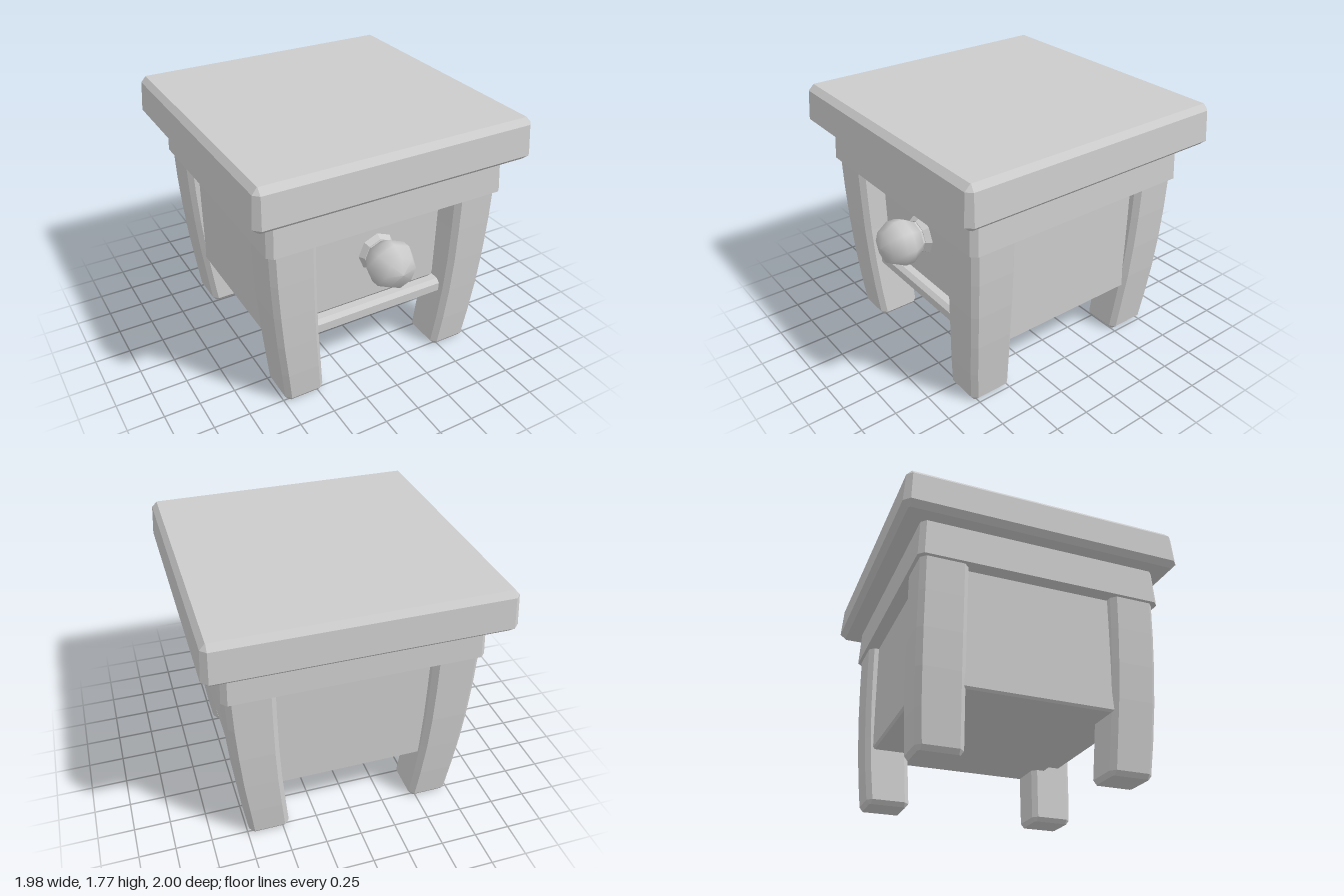
import * as THREE from 'three';

const flat = new THREE.MeshStandardMaterial({ color: 0xcccccc, flatShading: true });
const smooth = new THREE.MeshStandardMaterial({ color: 0xcccccc });

// Stacks chamfered rectangles, bottom to top: [y, x0, x1, z0, z1, cornerChamfer]
function loft(sections) {
  const rings = sections.map(([y, x0, x1, z0, z1, c]) => [
    [x1, z1 - c], [x1, z0 + c], [x1 - c, z0], [x0 + c, z0],
    [x0, z0 + c], [x0, z1 - c], [x0 + c, z1], [x1 - c, z1],
  ].map(([x, z]) => [x, y, z]));
  const pos = [];
  const tri = (...points) => points.forEach((p) => pos.push(...p));
  for (let i = 0; i < rings.length - 1; i++) {
    for (let j = 0; j < 8; j++) {
      const k = (j + 1) % 8;
      const [a, b, c, d] = [rings[i][j], rings[i][k], rings[i + 1][k], rings[i + 1][j]];
      tri(a, b, c);
      tri(a, c, d);
    }
  }
  const bottom = rings[0], top = rings[rings.length - 1];
  for (let j = 1; j < 7; j++) {
    tri(bottom[0], bottom[j + 1], bottom[j]);
    tri(top[0], top[j], top[j + 1]);
  }
  const g = new THREE.BufferGeometry();
  g.setAttribute('position', new THREE.Float32BufferAttribute(pos, 3));
  g.computeVertexNormals();
  return g;
}

// Section centred on x, given its half width
const centred = (y, hx, z0, z1, c) => [y, -hx, hx, z0, z1, c];

// Curved leg: [y, inner x, outer x, inner z, outer z, chamfer]
const legProfile = [
  [0, 0.48, 0.71, 0.505, 0.765, 0.01],
  [0.03, 0.453, 0.738, 0.483, 0.787, 0.035],
  [0.25, 0.475, 0.765, 0.492, 0.806, 0.035],
  [0.5, 0.497, 0.795, 0.502, 0.82, 0.035],
  [0.75, 0.511, 0.817, 0.508, 0.829, 0.035],
  [1.0, 0.518, 0.833, 0.511, 0.833, 0.035],
  [1.26, 0.522, 0.842, 0.512, 0.835, 0.035],
];

function legGeometry(sx, sz) {
  return loft(legProfile.map(([y, xi, xo, zi, zo, c]) => [
    y, Math.min(sx * xi, sx * xo), Math.max(sx * xi, sx * xo),
    Math.min(sz * zi, sz * zo), Math.max(sz * zi, sz * zo), c,
  ]));
}

export function createModel() {
  const model = new THREE.Group();
  const add = (name, geometry, material = flat, parent = model) => {
    const mesh = new THREE.Mesh(geometry, material);
    mesh.name = name;
    parent.add(mesh);
    return mesh;
  };

  // Slab top with bevelled rims
  add('tableTop', loft([
    centred(1.488, 0.95, -0.96, 0.935, 0.012),
    centred(1.525, 0.99, -1.0, 0.975, 0.042),
    centred(1.735, 0.975, -0.985, 0.96, 0.036),
    centred(1.775, 0.94, -0.95, 0.92, 0.002),
  ]));

  // Apron under the top
  add('apron', loft([
    centred(1.235, 0.868, -0.858, 0.862, 0.036),
    centred(1.5, 0.855, -0.846, 0.848, 0.034),
  ]));

  // Cabinet body between the legs
  add('cabinetBody', loft([
    centred(0.41, 0.75, -0.75, 0.59, 0.005),
    centred(0.425, 0.765, -0.765, 0.605, 0.015),
    centred(1.26, 0.765, -0.765, 0.605, 0.015),
  ]));

  // Rail below the drawer
  add('frontRail', loft([
    centred(0.445, 0.56, 0.55, 0.715, 0.005),
    centred(0.465, 0.56, 0.55, 0.74, 0.005),
    centred(0.525, 0.56, 0.55, 0.74, 0.005),
    centred(0.55, 0.56, 0.55, 0.71, 0.005),
  ]));

  // Drawer front, slightly tapering downward
  add('drawerFront', loft([
    centred(0.545, 0.465, 0.55, 0.65, 0.005),
    centred(0.58, 0.5, 0.55, 0.68, 0.035),
    centred(1.25, 0.515, 0.55, 0.68, 0.035),
  ]));

  // Knob: stepped base and faceted ball, turned to point forward
  const knob = new THREE.Group();
  knob.name = 'drawerKnob';
  knob.position.set(0, 0.922, 0);
  knob.rotation.x = Math.PI / 2;
  model.add(knob);
  const base = [[0.145, 0.115, 0.67, 0.72], [0.11, 0.11, 0.715, 0.75]];
  base.forEach(([r0, r1, z0, z1], i) => {
    const step = new THREE.CylinderGeometry(r1, r0, z1 - z0, 8);
    step.translate(0, (z0 + z1) / 2, 0);
    add(`knobBase${i + 1}`, step, flat, knob);
  });
  const ball = [[0, 0.7], [0.115, 0.735], [0.163, 0.815], [0.163, 0.88], [0.115, 0.97], [0, 1.0]];
  add('knobBall', new THREE.LatheGeometry(ball.map((p) => new THREE.Vector2(...p)), 8), smooth, knob);

  // Four mirrored legs
  for (const [z, end] of [[1, 'front'], [-1, 'back']]) {
    for (const [x, side] of [[1, 'Left'], [-1, 'Right']]) add(`${end}${side}Leg`, legGeometry(x, z));
  }
  return model;
}
